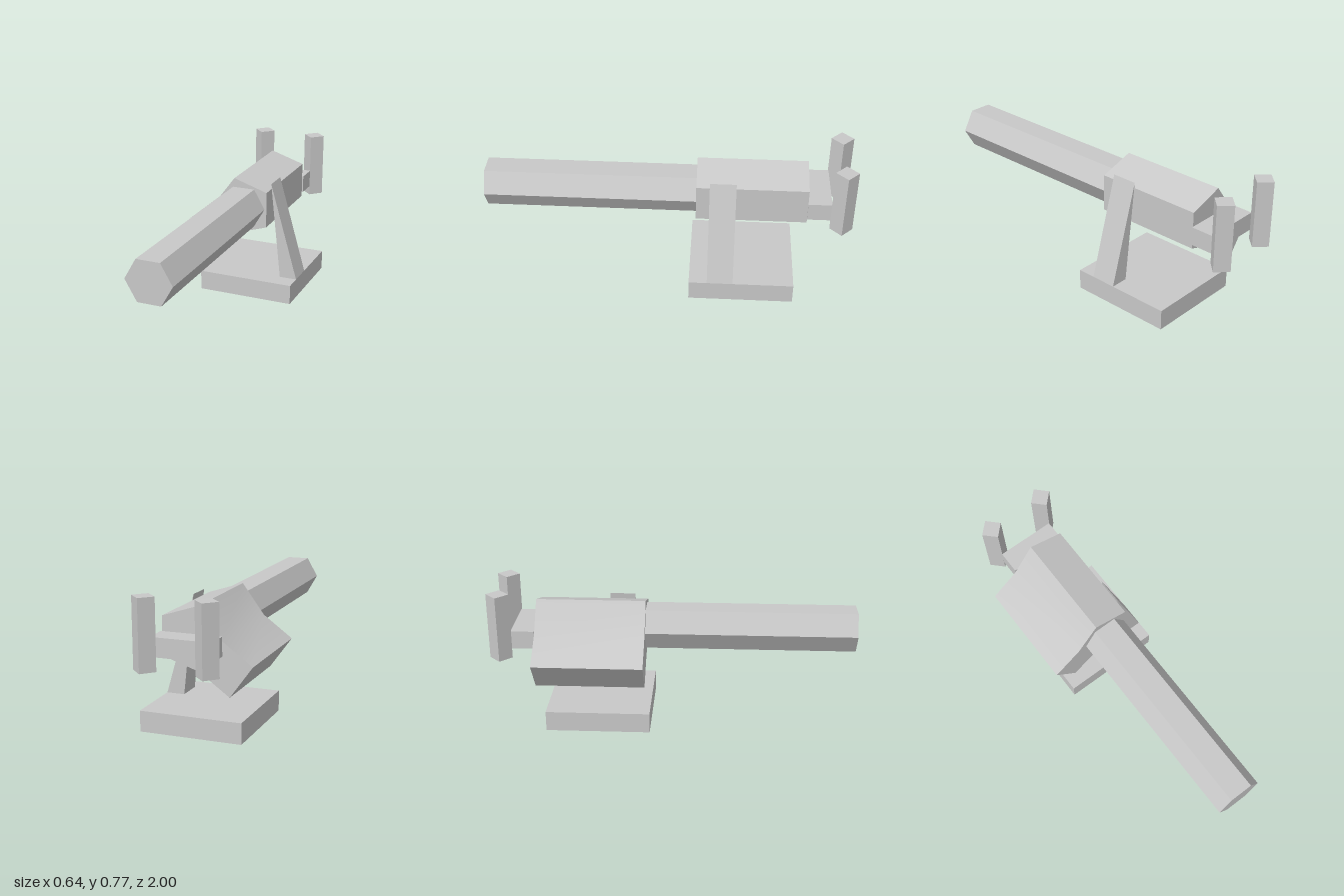
import * as THREE from 'three';
import { toCreasedNormals } from 'three/addons/utils/BufferGeometryUtils.js';

export function createModel() {
  const model = new THREE.Group();
  const grey = new THREE.MeshStandardMaterial({ color: 0xc8c8c8 });
  grey.name = 'light grey';

  function add(name, geometry, x = 0, y = 0, z = 0) {
    const mesh = new THREE.Mesh(geometry, grey);
    mesh.name = name;
    mesh.position.set(x, y, z);
    model.add(mesh);
    return mesh;
  }

  // Extrudes a front outline from zBack towards +z, softening only shallow bends
  function prism(name, points, zBack, zFront) {
    const shape = new THREE.Shape(points.map(([x, y]) => new THREE.Vector2(x, y)));
    const geometry = new THREE.ExtrudeGeometry(shape, { depth: zFront - zBack, bevelEnabled: false });
    return add(name, toCreasedNormals(geometry, Math.PI / 6), 0, 0, zBack);
  }

  // Slab base
  add('base', new THREE.BoxGeometry(0.557, 0.113, 0.575), 0.0385, 0.0565, -0.4125);

  // Tapered support on the left side
  prism('support', [[0.217, 0.113], [0.317, 0.113], [0.155, 0.67]], -0.367, -0.225);

  // Receiver with its slanted side hopper
  prism('receiver', [
    [-0.04, 0.703], [-0.162, 0.538], [-0.32, 0.422], [-0.2, 0.257],
    [-0.04, 0.372], [0.155, 0.435], [0.155, 0.64],
  ], -0.753, -0.153);

  // Six-sided barrel
  const barrel = new THREE.CylinderGeometry(0.128, 0.128, 1.153, 6);
  barrel.rotateY(Math.PI / 6).rotateX(Math.PI / 2);
  add('barrel', toCreasedNormals(barrel, Math.PI / 6), 0.016, 0.54, 0.4235);

  // Rear crossbar and its two diamond-section grips
  add('crossbar', new THREE.BoxGeometry(0.325, 0.1, 0.127), 0, 0.511, -0.8165);
  for (const side of [-1, 1]) {
    const grip = add(side > 0 ? 'leftGrip' : 'rightGrip',
      new THREE.BoxGeometry(0.087, 0.368, 0.087), side * 0.163, 0.591, -0.9385);
    grip.rotation.y = Math.PI / 4;
  }

  return model;
}
